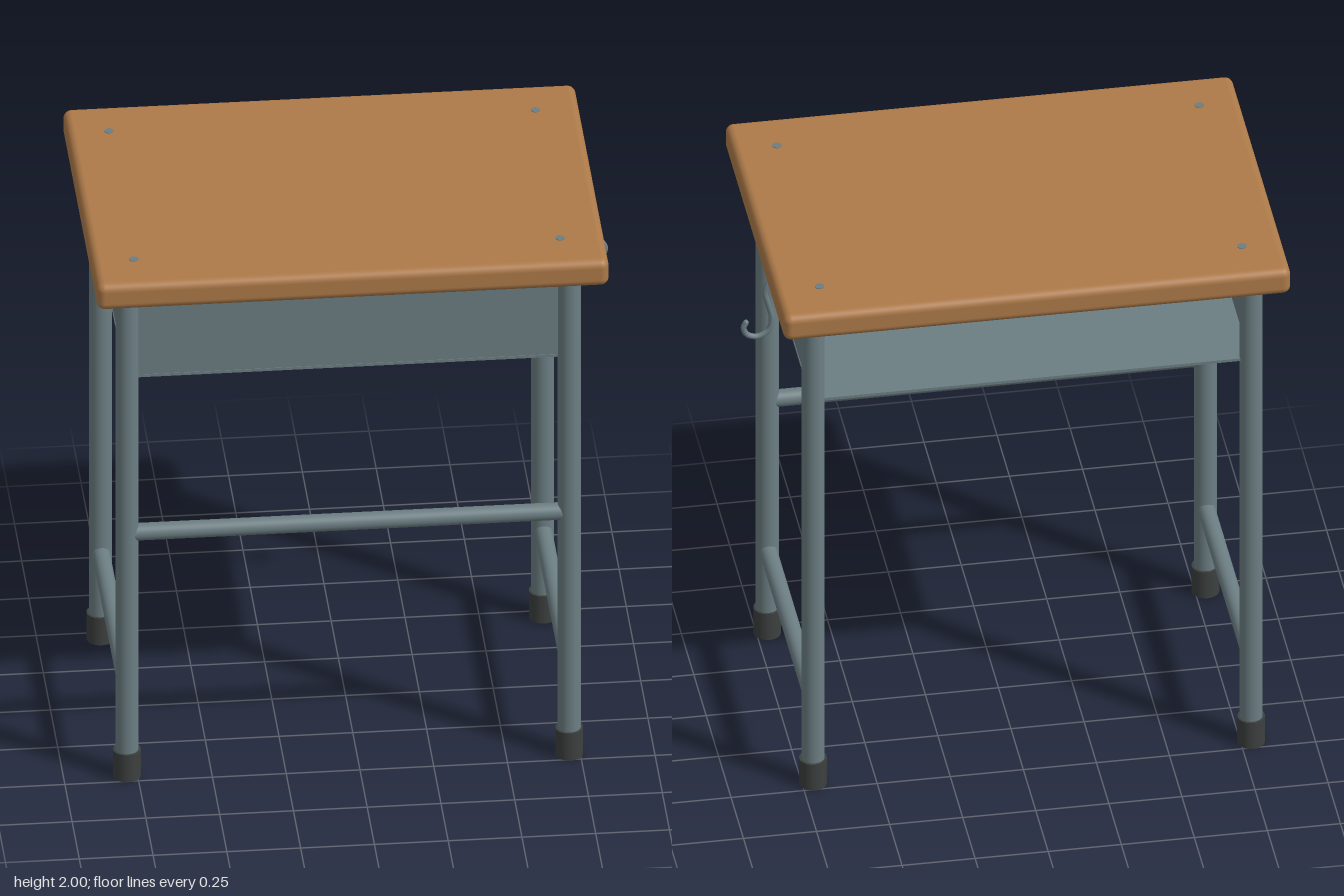
import * as THREE from 'three';
import { RoundedBoxGeometry } from 'three/addons/geometries/RoundedBoxGeometry.js';

export function createModel() {
  const desk = new THREE.Group();
  desk.name = 'schoolDesk';

  const material = (name, color) => {
    const m = new THREE.MeshStandardMaterial({ color });
    m.name = name;
    return m;
  };
  const wood = material('wood', 0xad7a49);
  const steel = material('greySteel', 0x6c7e83);
  const rubber = material('darkRubber', 0x3c403f);

  const add = (name, geometry, mat, x, y, z) => {
    const mesh = new THREE.Mesh(geometry, mat);
    mesh.name = name;
    mesh.position.set(x, y, z);
    desk.add(mesh);
    return mesh;
  };
  const rod = (r, length) => new THREE.CylinderGeometry(r, r, length, 32);

  const legX = [-0.786, 0.713];
  const legZ = 0.46;
  const midX = (legX[0] + legX[1]) / 2;
  const spanX = legX[1] - legX[0];

  // Table top with softly rounded edges
  add('tableTop', new RoundedBoxGeometry(1.735, 0.1, 1.205, 5, 0.028), wood, -0.0325, 1.948, 0);

  for (const x of legX) {
    // Legs with rubber feet
    for (const z of [-legZ, legZ]) {
      add('leg', rod(0.039, 1.815), steel, x, 0.9475, z);
      add('foot', rod(0.047, 0.105), rubber, x, 0.0525, z);
    }
    // Side rails: one under the top, one near the floor
    add('topRail', rod(0.037, 2 * legZ), steel, x, 1.859, 0).rotation.x = Math.PI / 2;
    add('lowerSideRail', rod(0.03, 2 * legZ), steel, x, 0.345, 0).rotation.x = Math.PI / 2;
    // Tray sides
    add('traySide', new THREE.BoxGeometry(0.01, 0.27, 2 * legZ), steel, x, 1.695, 0);
  }

  // Front cross bar
  add('frontBar', rod(0.03, spanX), steel, midX, 0.95, legZ).rotation.z = Math.PI / 2;

  // Book tray, open at the back
  add('trayFront', new THREE.BoxGeometry(spanX, 0.27, 0.01), steel, midX, 1.695, legZ);
  add('trayFloor', new THREE.BoxGeometry(spanX + 0.014, 0.01, 2 * legZ + 0.014), steel, midX, 1.562, 0);

  // Bolt heads in the table top
  for (const x of [-0.76, 0.685]) {
    for (const z of [-0.43, 0.43]) {
      add('boltHead', new THREE.CylinderGeometry(0.016, 0.016, 0.006, 20), steel, x, 1.997, z);
    }
  }

  // Bag hook: an S-shaped wire on one side
  const points = [
    [0.71, 1.82], [0.76, 1.823], [0.797, 1.815], [0.816, 1.775], [0.805, 1.72], [0.794, 1.665],
    [0.804, 1.62], [0.843, 1.597], [0.879, 1.609], [0.89, 1.637], [0.882, 1.657],
  ].map(([x, y]) => new THREE.Vector3(x, y, 0));
  const hookPath = new THREE.CatmullRomCurve3(points);
  add('bagHook', new THREE.TubeGeometry(hookPath, 64, 0.01, 12), steel, 0, 0, -0.105);
  add('bagHookTip', new THREE.SphereGeometry(0.01, 12, 8), steel, 0.882, 1.657, -0.105);

  return desk;
}
